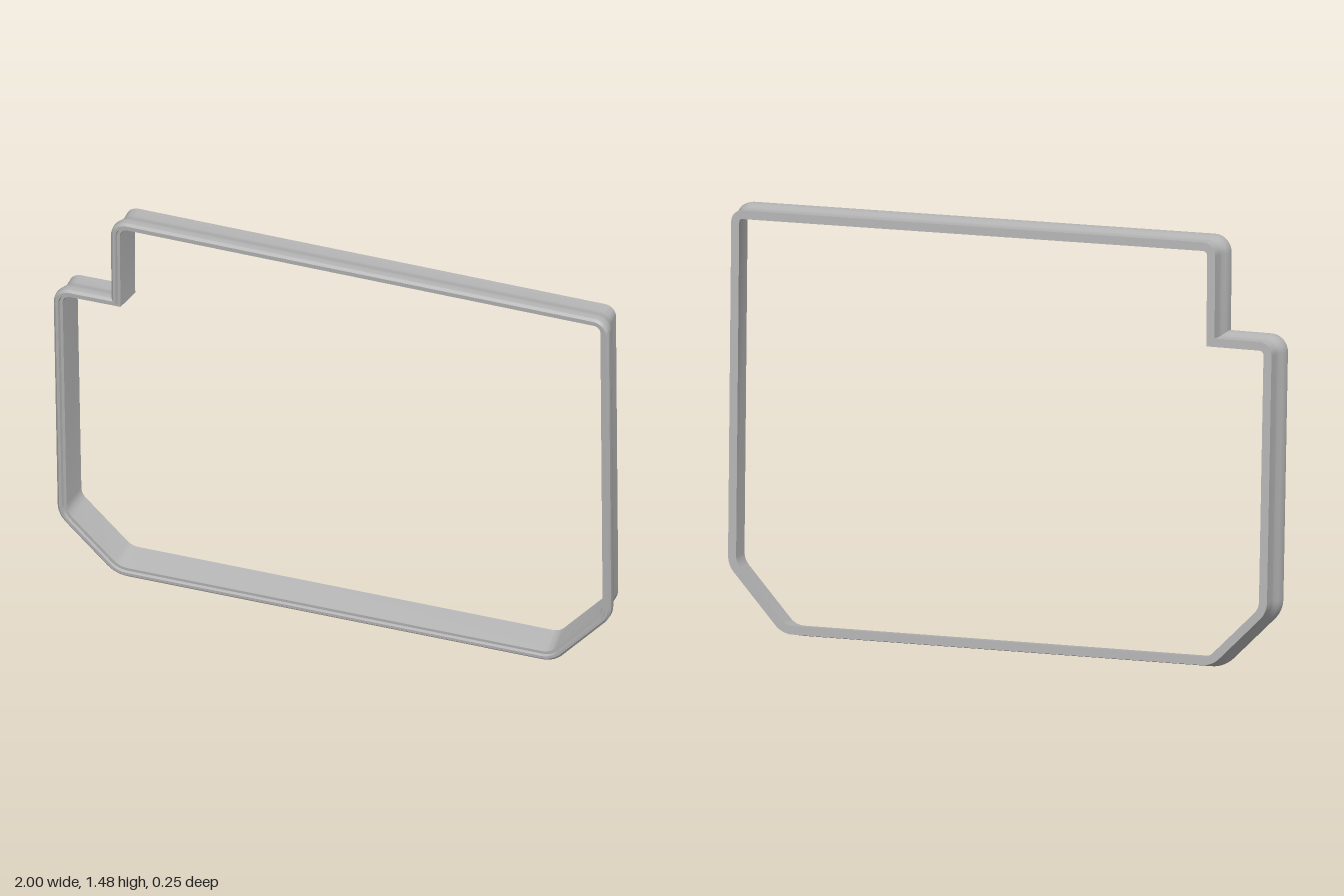
import * as THREE from 'three';
import { toCreasedNormals } from 'three/addons/utils/BufferGeometryUtils.js';

const TILT = THREE.MathUtils.degToRad(5);
const MID = 0.74;

// Outer outline, counter-clockwise from the front: x, y, corner radius (0 = sharp)
const CORNERS = [
  [-0.8, 0.031, 0.1], [0.757, 0.005, 0.1], [0.968, 0.23, 0.1], [0.998, 1.445, 0.055],
  [-0.772, 1.483, 0.06], [-0.78, 1.163, 0], [-0.986, 1.165, 0.06], [-1.0, 0.235, 0.1],
];

// Frame section: inset from the outline, depth behind the front
const SECTION = [
  [0.009, 0], [0.001, 0.008], [0, 0.026], [0.006, 0.045], [0.014, 0.062], [0.016, 0.075],
  [0.016, 0.119], [0.045, 0.119], [0.032, 0.01], [0.022, 0.01], [0.019, 0],
];

// Outline moved inward by an inset, with its corners rounded
function outline(inset) {
  const pts = CORNERS.map(([x, y]) => new THREE.Vector2(x, (y - MID) / Math.cos(TILT)));
  const n = pts.length, out = [], steps = 8;
  for (let i = 0; i < n; i++) {
    const p = pts[i];
    const d0 = p.clone().sub(pts[(i + n - 1) % n]).normalize();
    const d1 = pts[(i + 1) % n].clone().sub(p).normalize();
    const n0 = new THREE.Vector2(-d0.y, d0.x), n1 = new THREE.Vector2(-d1.y, d1.x);
    const miter = n0.clone().add(n1).divideScalar(1 + n0.dot(n1));
    const r = CORNERS[i][2];
    if (r === 0) {
      out.push(p.clone().addScaledVector(miter, inset));
      continue;
    }
    const radius = Math.max(r - inset, 0.005);
    const centre = p.clone().addScaledVector(miter, inset + radius);
    const a0 = Math.atan2(-n0.y, -n0.x);
    const turn = Math.atan2(d0.cross(d1), d0.dot(d1));
    for (let k = 0; k <= steps; k++) {
      const a = a0 + turn * k / steps;
      out.push(new THREE.Vector2(centre.x + radius * Math.cos(a), centre.y + radius * Math.sin(a)));
    }
  }
  return out;
}

// Closed ring joining the outlines of every section point
function ringGeometry() {
  const loops = SECTION.map(([inset]) => outline(inset));
  const m = loops[0].length, s = loops.length, pos = [], idx = [];
  loops.forEach((loop, j) => loop.forEach(p => pos.push(p.x, p.y, -SECTION[j][1])));
  for (let j = 0; j < s; j++) {
    const k = (j + 1) % s;
    for (let i = 0; i < m; i++) {
      const h = (i + 1) % m;
      const a = j * m + i, b = j * m + h, c = k * m + h, d = k * m + i;
      idx.push(a, d, c, a, c, b);
    }
  }
  const g = new THREE.BufferGeometry();
  g.setAttribute('position', new THREE.Float32BufferAttribute(pos, 3));
  g.setIndex(idx);
  return toCreasedNormals(g, THREE.MathUtils.degToRad(32));
}

export function createModel() {
  const group = new THREE.Group();
  group.name = 'gasketFrame';
  const grey = new THREE.MeshStandardMaterial({ color: 0xb4b4b4 });
  grey.name = 'grey';

  // Notched frame, leaning forward at the top
  const frame = new THREE.Mesh(ringGeometry(), grey);
  frame.name = 'frame';
  frame.rotation.x = TILT;
  frame.position.set(0, MID, 0.06);
  group.add(frame);
  return group;
}
